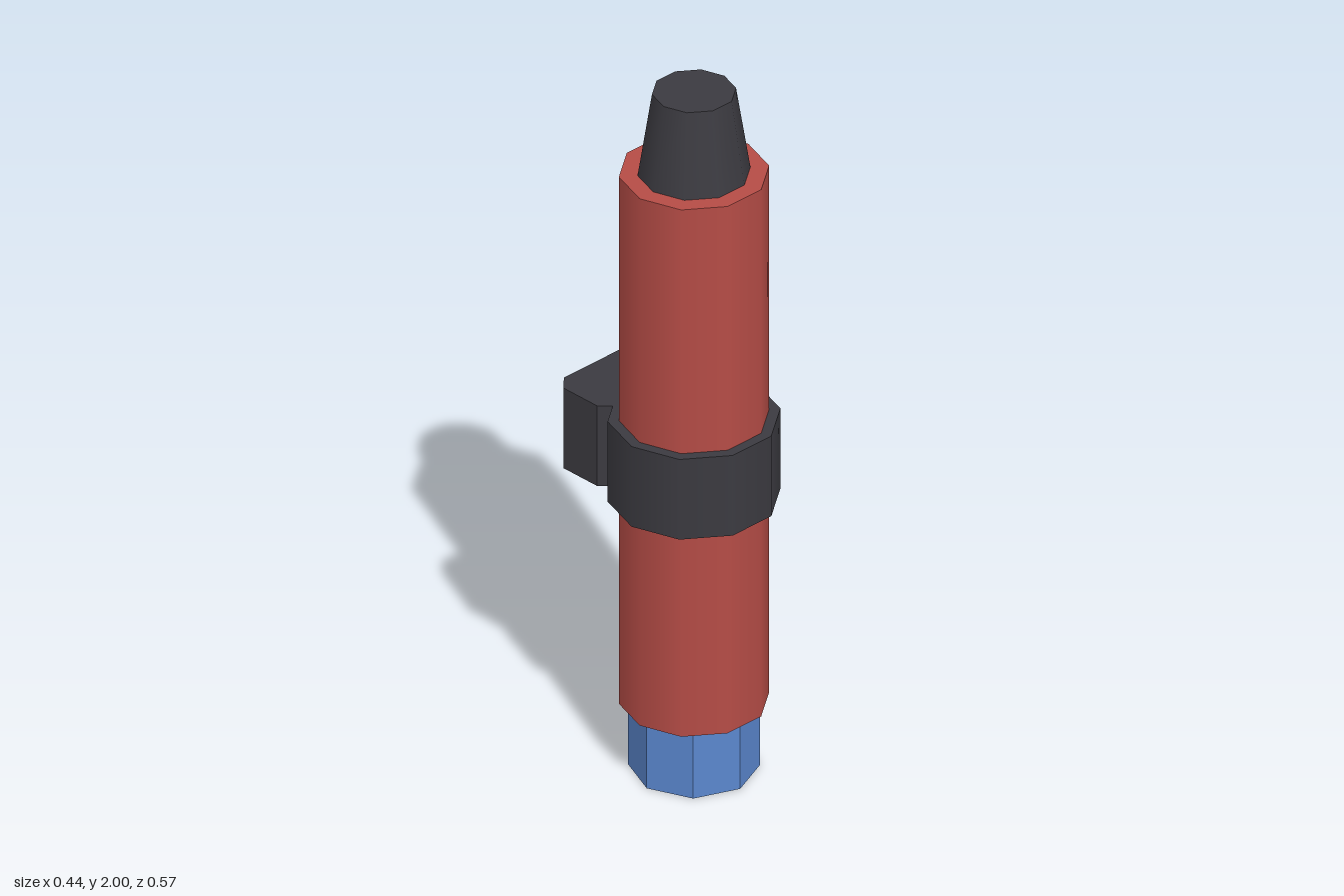
import * as THREE from 'three';

export function createModel() {
  const model = new THREE.Group();
  const material = (name, color, flatShading = false) => {
    const m = new THREE.MeshStandardMaterial({ color, flatShading });
    m.name = name;
    return m;
  };
  const red = material('red', 0xb54c46);
  const charcoal = material('charcoal', 0x3b3a40);
  const blue = material('blue', 0x5a86cd, true);

  const axisZ = 0.073; // all round parts share this upright axis

  // Upright prism or cone between two heights, with a corner pointing to +x
  function round(name, rTop, rBottom, y0, y1, sides, mat) {
    const geometry = new THREE.CylinderGeometry(rTop, rBottom, y1 - y0, sides, 1, false, Math.PI / 2);
    const mesh = new THREE.Mesh(geometry, mat);
    mesh.name = name;
    mesh.position.set(0, (y0 + y1) / 2, axisZ);
    model.add(mesh);
  }

  round('baseCap', 0.168, 0.168, 0, 0.197, 8, blue);
  round('body', 0.193, 0.193, 0.197, 1.762, 10, red);
  round('collar', 0.222, 0.222, 0.8, 1.038, 10, charcoal);
  round('nose', 0.108, 0.145, 1.762, 2, 10, charcoal);

  // Chamfered block behind the collar
  const hx = 0.145, hz = 0.097, c = 0.036;
  const outline = new THREE.Shape([
    [hx - c, -hz], [hx, c - hz], [hx, hz - c], [hx - c, hz],
    [c - hx, hz], [-hx, hz - c], [-hx, c - hz], [c - hx, -hz],
  ].map(([x, y]) => new THREE.Vector2(x, y)));
  const blockGeometry = new THREE.ExtrudeGeometry(outline, { depth: 0.238, bevelEnabled: false });
  blockGeometry.rotateX(-Math.PI / 2);
  const block = new THREE.Mesh(blockGeometry, charcoal);
  block.name = 'mountBlock';
  block.position.set(0, 0.8, -0.192);
  model.add(block);

  return model;
}
